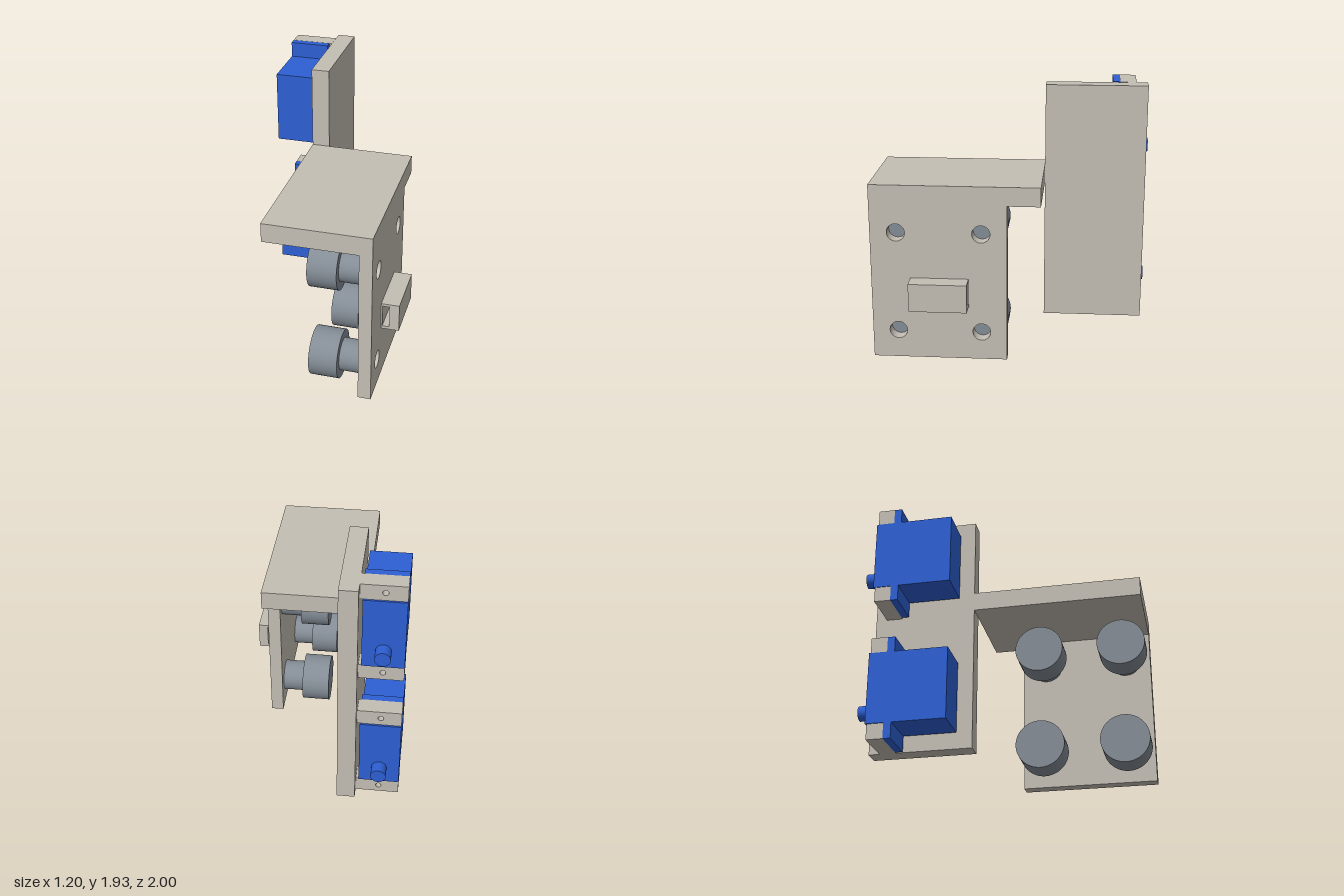
import * as THREE from 'three';

const tan = new THREE.MeshStandardMaterial({ name: 'warm grey plastic', color: 0xc4beb4 });
const blue = new THREE.MeshStandardMaterial({ name: 'servo blue', color: 0x2d5fd3 });
const steel = new THREE.MeshStandardMaterial({ name: 'roller grey', color: 0x848d96 });

export function createModel() {
  const model = new THREE.Group();
  model.name = 'servoBracket';

  const add = (name, geometry, material, parent = model) => {
    const mesh = new THREE.Mesh(geometry, material);
    mesh.name = name;
    parent.add(mesh);
    return mesh;
  };
  // Box given by its lower and upper limits on each axis
  const box = (name, material, [x0, x1], [y0, y1], [z0, z1], parent) =>
    add(name, new THREE.BoxGeometry(x1 - x0, y1 - y0, z1 - z0)
      .translate((x0 + x1) / 2, (y0 + y1) / 2, (z0 + z1) / 2), material, parent);
  const rect = (x0, x1, y0, y1, Type = THREE.Shape) => new Type([
    [x0, y0], [x1, y0], [x1, y1], [x0, y1]].map(([x, y]) => new THREE.Vector2(x, y)));
  const circle = (x, y, r) => new THREE.Path().absarc(x, y, r, 0, Math.PI * 2, true);
  const extrude = (shape, depth) =>
    new THREE.ExtrudeGeometry(shape, { depth, bevelEnabled: false, curveSegments: 32 });

  // Main frame
  box('servoPlate', tan, [-0.295, -0.165], [0.105, 1.925], [-0.977, -0.225]);
  box('topShelf', tan, [-0.295, 0.47], [1.18, 1.32], [-0.225, 1]);

  // Side plate with four bores, and a roller behind each bore
  const side = rect(-1, -0.015, 0, 1.18);
  for (const y of [0.214, 0.968]) for (const z of [0.2, 0.812]) {
    side.holes.push(circle(-z, y, 0.065));
    const roller = new THREE.Group();
    roller.name = 'roller';
    roller.position.set(0, y, z);
    model.add(roller);
    const drum = (name, r, x0, x1) => add(name, new THREE.CylinderGeometry(r, r, x1 - x0, 48)
      .rotateZ(Math.PI / 2).translate((x0 + x1) / 2, 0, 0), steel, roller);
    drum('rollerHead', 0.178, 0.012, 0.22);
    drum('rollerNeck', 0.118, 0.22, 0.377);
  }
  add('sidePlate', extrude(side, 0.093).rotateY(Math.PI / 2).translate(0.377, 0, 0), tan);

  // Strap loop on the outside of the side plate
  const loop = rect(0.47, 0.6, 0.415, 0.625);
  loop.holes.push(rect(0.48, 0.53, 0.437, 0.605, THREE.Path));
  add('strapLoop', extrude(loop, 0.42).translate(0, 0, 0.293), tan);

  // Two servos, each held by a pair of drilled mounting blocks
  for (const y of [0.103, 1.162]) {
    const servo = new THREE.Group();
    servo.name = 'servo';
    servo.position.y = y;
    model.add(servo);
    box('servoBody', blue, [-0.603, -0.315], [0.117, 0.65], [-0.908, -0.335], servo);
    box('servoFlange', blue, [-0.603, -0.315], [0, 0.763], [-0.775, -0.72], servo);
    add('servoShaft', new THREE.CylinderGeometry(0.054, 0.054, 0.092, 32)
      .rotateX(Math.PI / 2).translate(-0.459, 0.251, -0.954), blue, servo);
    for (const y0 of [0, 0.65]) {
      const block = rect(-0.603, -0.295, y0, y0 + 0.114);
      block.holes.push(circle(-0.459, y0 + 0.057, 0.02));
      add('mountingBlock', extrude(block, 0.12).translate(0, 0, -0.895), tan, servo);
    }
  }
  return model;
}
